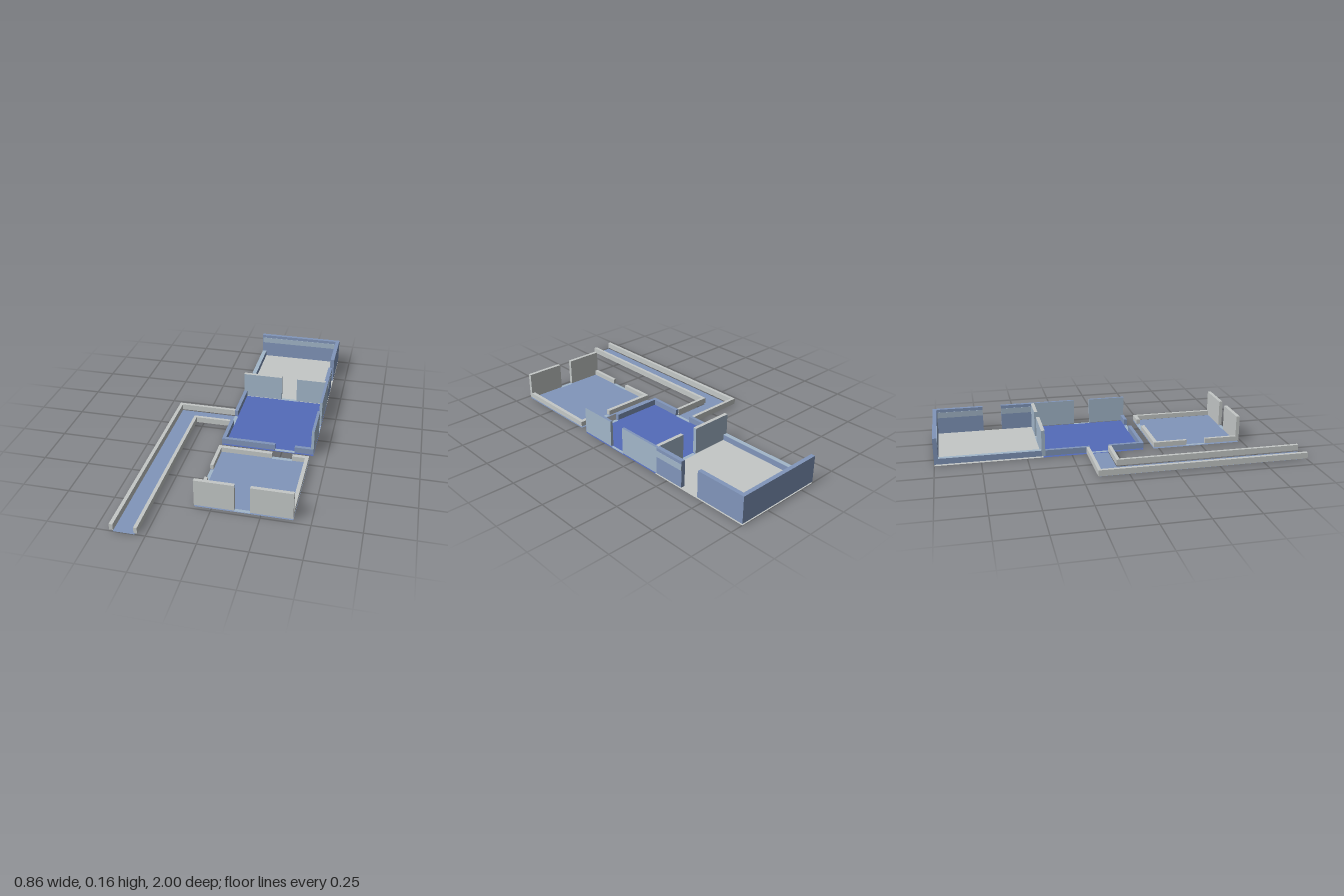
import * as THREE from 'three';

const mat = (name, color) => {
  const m = new THREE.MeshStandardMaterial({ color, side: THREE.DoubleSide });
  m.name = name;
  return m;
};

export function createModel() {
  const root = new THREE.Group();
  const grey = mat('stone grey', 0xc4c8c7);
  const light = mat('pale blue', 0xa3b7ca);
  const blue = mat('slate blue', 0x8196bb);
  const deep = mat('deep blue', 0x546bb9);
  const BASE = 0.008, LOW = 0.041, TALL = 0.157;

  // Box from x, z and y ranges; an optional second material covers its top
  const block = (parent, name, m, x0, x1, z0, z1, top, y0 = BASE, topMat = m) => {
    const mesh = new THREE.Mesh(
      new THREE.BoxGeometry(x1 - x0, top - y0, z1 - z0),
      topMat === m ? m : [m, m, topMat, m, m, m]);
    mesh.position.set((x0 + x1) / 2, (y0 + top) / 2, (z0 + z1) / 2);
    mesh.name = name;
    parent.add(mesh);
  };
  // Flat floor sheet
  const sheet = (parent, name, m, x0, x1, z0, z1, y = 0) => {
    const geo = new THREE.PlaneGeometry(x1 - x0, z1 - z0).rotateX(-Math.PI / 2);
    const mesh = new THREE.Mesh(geo, m);
    mesh.position.set((x0 + x1) / 2, y, (z0 + z1) / 2);
    mesh.name = name;
    parent.add(mesh);
  };
  const room = (name) => {
    const g = new THREE.Group();
    g.name = name;
    root.add(g);
    return g;
  };

  // Back room: tall back wall, low left wall, doorway in the tall left-hand side
  const back = room('backRoom');
  sheet(back, 'backFloor', grey, -0.09, 0.425, -1, -0.41);
  block(back, 'backWall', blue, -0.09, 0.425, -1, -0.977, TALL);
  block(back, 'lowSideWall', blue, -0.09, -0.065, -0.977, -0.42, LOW, BASE, light);
  block(back, 'tallSideWall', blue, 0.402, 0.425, -0.977, -0.71, TALL);
  block(back, 'tallSideWall', blue, 0.402, 0.425, -0.6, -0.42, TALL);
  // Painted bands
  block(back, 'backBand', light, -0.088, 0.402, -0.977, -0.975, 0.139, 0.105);
  block(back, 'sideBand', light, 0.4, 0.402, -0.975, -0.71, 0.139, 0.105);
  block(back, 'sideBand', light, 0.4, 0.402, -0.6, -0.42, 0.139, 0.105);
  block(back, 'outerBand', light, 0.425, 0.4265, -0.6, -0.42, 0.139, 0.105);

  // Partition between the two joined rooms
  block(back, 'partition', light, -0.09, 0.146, -0.42, -0.4, TALL, BASE, grey);
  block(back, 'partition', light, 0.238, 0.41, -0.42, -0.4, TALL, BASE, grey);
  sheet(back, 'partitionThreshold', light, 0.146, 0.238, -0.42, -0.4, 0.004);

  // Middle room: low walls, tall walls beside the side doorway
  const middle = room('middleRoom');
  sheet(middle, 'middleFloor', deep, -0.09, 0.425, -0.41, 0.16);
  block(middle, 'tallSideWall', light, 0.41, 0.425, -0.42, -0.155, TALL, BASE, blue);
  block(middle, 'tallSideWall', light, 0.41, 0.425, -0.06, 0.157, TALL, BASE, blue);
  block(middle, 'lowSideWall', blue, -0.09, -0.07, -0.4, -0.15, LOW);
  block(middle, 'lowSideWall', blue, -0.09, -0.07, -0.04, 0.14, LOW);
  block(middle, 'lowFrontWall', blue, -0.09, 0.21, 0.14, 0.16, LOW);
  block(middle, 'lowFrontWall', blue, 0.32, 0.425, 0.14, 0.16, LOW);
  sheet(middle, 'sideThreshold', light, 0.41, 0.425, -0.155, -0.06, 0.004);
  sheet(middle, 'corridorThreshold', light, -0.09, -0.07, -0.15, -0.04, 0.004);
  sheet(middle, 'frontThreshold', light, 0.21, 0.32, 0.14, 0.16, 0.004);

  // Detached front room: tall front wall, the rest low
  const front = room('frontRoom');
  const H = 0.036;
  sheet(front, 'frontFloor', blue, -0.09, 0.41, 0.22, 0.73);
  block(front, 'tallFrontWall', grey, -0.09, 0.115, 0.71, 0.73, TALL);
  block(front, 'tallFrontWall', grey, 0.195, 0.41, 0.71, 0.73, TALL);
  block(front, 'lowBackWall', grey, -0.09, 0.21, 0.22, 0.242, H);
  block(front, 'lowBackWall', grey, 0.32, 0.41, 0.22, 0.242, H);
  block(front, 'lowSideWall', grey, 0.39, 0.41, 0.242, 0.71, H);
  block(front, 'lowSideWall', grey, -0.09, -0.072, 0.242, 0.415, H);
  block(front, 'lowSideWall', grey, -0.09, -0.072, 0.525, 0.71, H);
  sheet(front, 'backThreshold', light, 0.21, 0.32, 0.22, 0.242, 0.004);
  sheet(front, 'sideThreshold', light, -0.09, -0.072, 0.415, 0.525, 0.004);
  sheet(front, 'frontThreshold', light, 0.115, 0.195, 0.71, 0.73, 0.004);

  // L-shaped corridor
  const corridor = room('corridor');
  sheet(corridor, 'corridorFloor', blue, -0.413, -0.305, -0.155, 1);
  sheet(corridor, 'corridorFloor', blue, -0.305, -0.09, -0.155, -0.045);
  block(corridor, 'outerWall', grey, -0.43, -0.411, -0.17, 1, LOW);
  block(corridor, 'outerWall', grey, -0.411, -0.09, -0.17, -0.152, LOW);
  block(corridor, 'innerWall', grey, -0.308, -0.29, -0.046, 1, LOW);
  block(corridor, 'innerWall', grey, -0.29, -0.09, -0.046, -0.028, LOW);

  return root;
}
